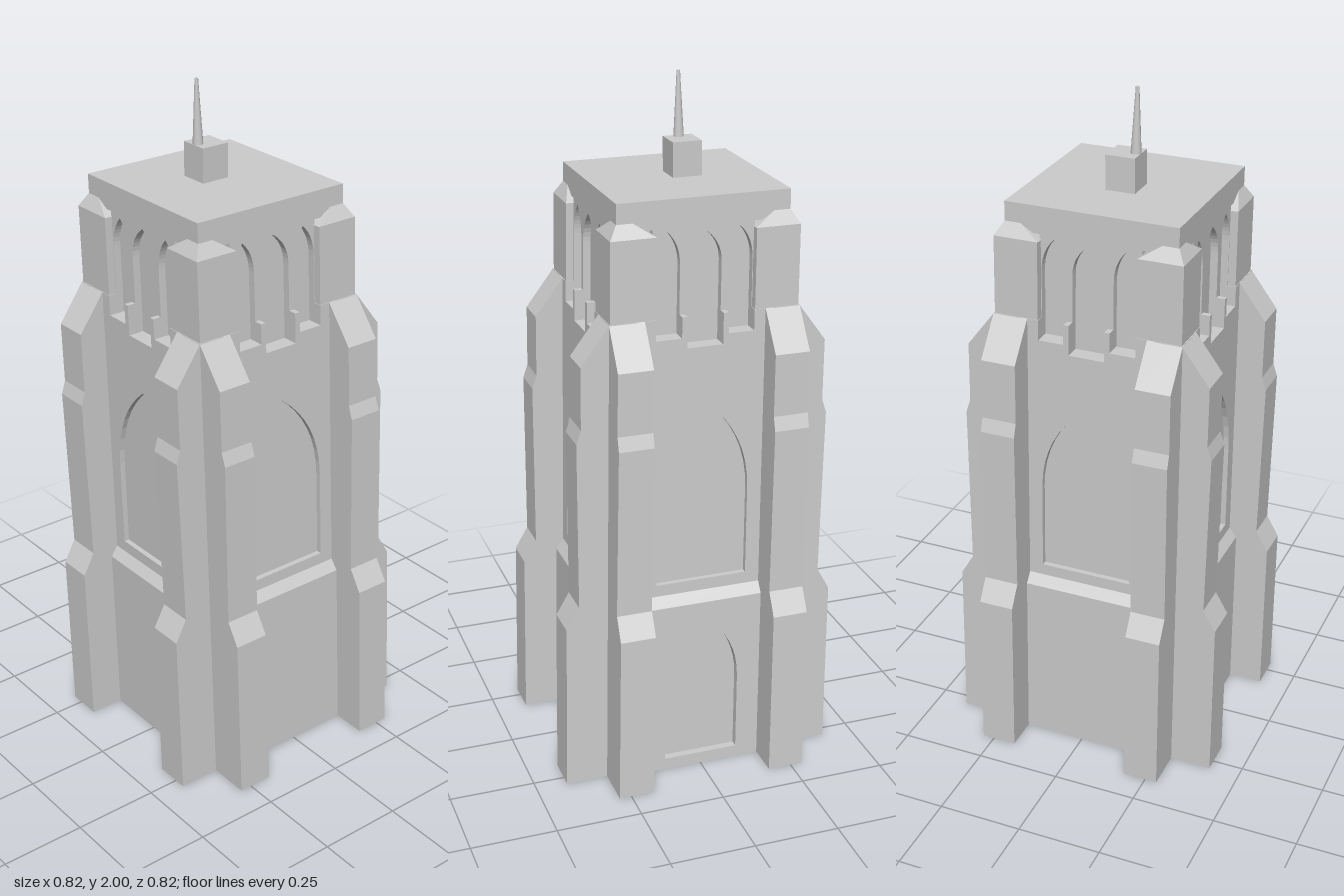
import * as THREE from 'three';

const material = new THREE.MeshStandardMaterial({ color: 0xcccccc });

// The whole tower tapers a little and leans back and to one side as it rises.
function lean(geometry) {
  const g = geometry.index ? geometry.toNonIndexed() : geometry;
  const p = g.attributes.position;
  for (let i = 0; i < p.count; i++) {
    const y = p.getY(i), s = 1.015 - 0.018 * y;
    p.setX(i, p.getX(i) * s - 0.02 * y);
    p.setZ(i, p.getZ(i) * s - 0.02 * y);
  }
  g.computeVertexNormals();
  return g;
}

function add(parent, name, geometry) {
  const mesh = new THREE.Mesh(geometry, material);
  mesh.name = name;
  parent.add(mesh);
  return mesh;
}

// Box given by its low and high corners
function boxAt(x0, x1, y0, y1, z0, z1) {
  return new THREE.BoxGeometry(x1 - x0, y1 - y0, z1 - z0)
    .translate((x0 + x1) / 2, (y0 + y1) / 2, (z0 + z1) / 2);
}

// Pointed arch opening
function archHole({ x = 0, half, bottom, spring, top }) {
  const h = new THREE.Path();
  const cy = spring + 0.62 * (top - spring);
  h.moveTo(x - half, bottom);
  h.lineTo(x + half, bottom);
  h.lineTo(x + half, spring);
  h.quadraticCurveTo(x + half, cy, x, top);
  h.quadraticCurveTo(x - half, cy, x - half, spring);
  h.lineTo(x - half, bottom);
  return h;
}

const polygon = (pts) => new THREE.Shape(pts.map(([x, y]) => new THREE.Vector2(x, y)));

// Upright slab between two depths, with holes
function slab(pts, holes, back, front) {
  const shape = polygon(pts);
  shape.holes.push(...holes.map(archHole));
  return new THREE.ExtrudeGeometry(shape, { depth: front - back, bevelEnabled: false, curveSegments: 8 })
    .translate(0, 0, back);
}

// Side profile of (outward, up) points swept across from x0 to x1
function sweep(pts, x0, x1) {
  return new THREE.ExtrudeGeometry(polygon(pts), { depth: x1 - x0, bevelEnabled: false })
    .rotateY(-Math.PI / 2).translate(x1, 0, 0);
}

const rect = (half, y0, y1) => [[-half, y0], [half, y0], [half, y1], [-half, y1]];

const lancets = [
  { x: -0.107, half: 0.038, bottom: 1.33, spring: 1.53, top: 1.625 },
  { x: 0, half: 0.053, bottom: 1.3, spring: 1.53, top: 1.625 },
  { x: 0.107, half: 0.038, bottom: 1.33, spring: 1.53, top: 1.625 },
];
const tallWindow = { half: 0.136, bottom: 0.595, spring: 0.86, top: 1.14 };
const doorway = { half: 0.11, bottom: 0.035, spring: 0.27, top: 0.485 };

const buttressProfile = [
  [0.2, 0], [0.402, 0], [0.403, 0.5], [0.366, 0.565], [0.374, 1.06],
  [0.361, 1.1], [0.362, 1.28], [0.28, 1.39], [0.2, 1.39],
];

// Wall outline with notches in its top edge under the lancets
function wallOutline() {
  const pts = [[-0.18, 0], [0.18, 0], [0.18, 1.39]];
  for (const l of [...lancets].reverse()) {
    pts.push([l.x + l.half, 1.39], [l.x + l.half, l.bottom], [l.x - l.half, l.bottom], [l.x - l.half, 1.39]);
  }
  pts.push([-0.18, 1.39]);
  return pts;
}

// Corner pier cap, drawn in on every side toward the roof
function pierCap() {
  const g = boxAt(0.145, 0.278, 1.62, 1.66, 0.145, 0.278);
  const p = g.attributes.position;
  const inset = (v) => (v > 0.2 ? 0.254 : 0.21);
  for (let i = 0; i < p.count; i++) {
    if (p.getY(i) > 1.64) {
      p.setX(i, inset(p.getX(i)));
      p.setZ(i, inset(p.getZ(i)));
    }
  }
  return g;
}

export function createModel() {
  const tower = new THREE.Group();
  tower.name = 'bellTower';

  // Solid cores behind the recesses
  add(tower, 'bodyCore', lean(boxAt(-0.264, 0.264, 0, 1.27, -0.264, 0.264)));
  add(tower, 'belfryCore', lean(boxAt(-0.232, 0.232, 1.2, 1.66, -0.232, 0.232)));
  add(tower, 'roofBlock', lean(boxAt(-0.255, 0.255, 1.635, 1.715, -0.255, 0.255)));

  // Four sides, each turned a quarter
  const sideNames = ['front', 'left', 'back', 'right'];
  sideNames.forEach((sideName, k) => {
    const side = new THREE.Group();
    side.name = sideName + 'Side';
    tower.add(side);
    const part = (name, g) => add(side, name, lean(g.rotateY(k * Math.PI / 2)));

    part('wall', slab(wallOutline(), [tallWindow], 0.225, 0.28));
    part('lowerWall', slab(rect(0.184, 0, 0.53), k === 1 ? [doorway] : [], 0.272, 0.302));
    part('ledge', sweep([[0.272, 0.53], [0.302, 0.53], [0.28, 0.56], [0.272, 0.56]], -0.184, 0.184));
    part('arcade', slab(rect(0.15, 1.28, 1.66), lancets, 0.225, 0.2545));

    // Corner post, belfry pier and cap
    part('cornerPost', boxAt(0.18, 0.28, 0, 1.39, 0.18, 0.28));
    part('belfryPier', boxAt(0.147, 0.278, 1.385, 1.62, 0.147, 0.278));
    part('pierCap', pierCap());

    // A pair of stepped buttresses
    part('buttress', sweep(buttressProfile, 0.178, 0.281));
    part('buttress', sweep(buttressProfile, -0.281, -0.178));
  });

  // Rooftop block and slender spire
  add(tower, 'roofPedestal', boxAt(-0.085, 0.001, 1.71, 1.815, -0.105, -0.019));
  const spire = add(tower, 'spire', new THREE.CylinderGeometry(0.005, 0.015, 0.187, 12));
  spire.position.set(-0.072, 1.9065, -0.061);
  spire.rotation.z = 0.02;

  return tower;
}
